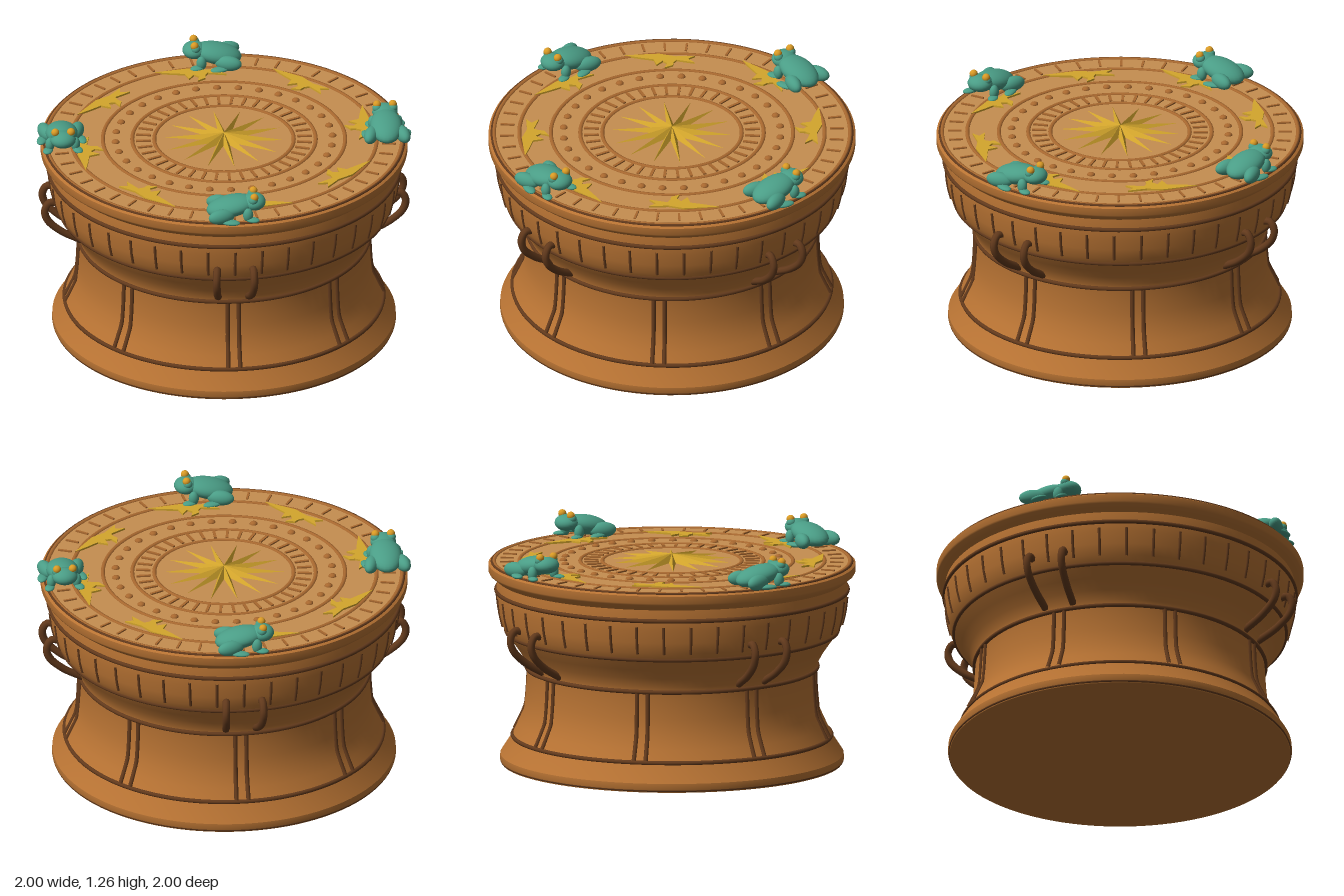
import * as THREE from 'three';
import { toCreasedNormals } from 'three/addons/utils/BufferGeometryUtils.js';

const mat = (color, opts = {}) => new THREE.MeshStandardMaterial({ color, ...opts });
const bronze = mat(0xb87333), face = mat(0xc68e50), trim = mat(0xa8682f), dark = mat(0x633a1c);
const gold = mat(0xd4a62c), goldFlat = mat(0xd4a62c, { flatShading: true });
const jade = mat(0x4a9d86), amber = mat(0xd99a25);
const TOP = 1.11;

function add(parent, name, geometry, material, x = 0, y = 0, z = 0) {
  const mesh = new THREE.Mesh(geometry, material);
  mesh.name = name;
  mesh.position.set(x, y, z);
  parent.add(mesh);
  return mesh;
}

// Repeats a part n times around the vertical axis
function around(parent, name, n, start, build) {
  const set = new THREE.Group();
  set.name = name;
  for (let i = 0; i < n; i++) {
    const arm = new THREE.Group();
    arm.rotation.y = start + (i / n) * Math.PI * 2;
    build(arm);
    set.add(arm);
  }
  parent.add(set);
}

function hoop(parent, name, r, y, tube, material, squash = 1) {
  const g = new THREE.TorusGeometry(r, tube, 8, 96).rotateX(Math.PI / 2).scale(1, squash, 1);
  add(parent, name, g, material, 0, y, 0);
}

// Tube along [radius, height] points, turned by an angle about the axis
function rod(parent, name, pts, angle, radius, segments) {
  const path = new THREE.CatmullRomCurve3(pts.map(([r, y]) => new THREE.Vector3(r, y, 0)));
  const mesh = add(parent, name, new THREE.TubeGeometry(path, segments, radius, 8), dark);
  mesh.rotation.y = angle;
}

function buildStar() {
  const n = 14, pos = [];
  const at = (k) => {
    const a = Math.PI / 2 + (k * Math.PI) / n, r = k % 2 ? 0.085 : 0.33;
    return [r * Math.cos(a), 0, -r * Math.sin(a)];
  };
  for (let k = 0; k < 2 * n; k++) pos.push(0, 0.04, 0, ...at(k), ...at(k + 1));
  const g = new THREE.BufferGeometry();
  g.setAttribute('position', new THREE.Float32BufferAttribute(pos, 3));
  g.computeVertexNormals();
  return g;
}

// Flying bird outline as [x, z] on the drum face
function buildBird() {
  const pts = [[0.775, -0.326], [0.792, -0.235], [0.808, -0.14], [0.788, -0.05], [0.802, 0.055],
    [0.77, 0.02], [0.733, 0.06], [0.752, -0.04], [0.725, -0.055], [0.695, -0.055], [0.665, -0.1],
    [0.71, -0.088], [0.735, -0.115], [0.69, -0.145], [0.745, -0.165], [0.757, -0.24]];
  const shape = new THREE.Shape(pts.map(([x, z]) => new THREE.Vector2(x, -z)));
  return new THREE.ExtrudeGeometry(shape, { depth: 0.012, bevelEnabled: false }).rotateX(-Math.PI / 2);
}

// Frog faces local +z
function buildFrog() {
  const frog = new THREE.Group();
  frog.name = 'frog';
  const ball = new THREE.SphereGeometry(1, 24, 16);
  const blob = (name, p, s, tilt = 0, turn = 0, m = jade) => {
    const b = add(frog, name, ball, m, ...p);
    b.scale.set(...s);
    b.rotation.set(tilt, turn, 0);
  };
  blob('frogBody', [0, 0.062, -0.02], [0.088, 0.055, 0.135], -0.2);
  blob('frogHead', [0, 0.085, 0.105], [0.07, 0.045, 0.065]);
  for (const s of [-1, 1]) {
    blob('frogEye', [s * 0.043, 0.13, 0.106], [0.022, 0.022, 0.022], 0, 0, amber);
    blob('frogEyeBump', [s * 0.043, 0.112, 0.1], [0.026, 0.024, 0.026]);
    blob('frogThigh', [s * 0.085, 0.04, -0.075], [0.038, 0.042, 0.075], 0, s * -0.3);
    blob('frogHindFoot', [s * 0.105, 0.014, -0.03], [0.028, 0.014, 0.055], 0, s * 0.3);
    blob('frogForeleg', [s * 0.07, 0.038, 0.07], [0.025, 0.04, 0.028]);
    blob('frogForefoot', [s * 0.082, 0.013, 0.095], [0.026, 0.013, 0.038], 0, s * 0.3);
  }
  return frog;
}

export function createModel() {
  const drum = new THREE.Group();
  drum.name = 'bronzeDrum';

  // Body: flared foot, waist, bulging shoulder, rim
  const profile = [[0, 0], [0.928, 0], [0.937, 0.02], [0.935, 0.05], [0.87, 0.15], [0.838, 0.22],
    [0.806, 0.29], [0.797, 0.38], [0.788, 0.52], [0.797, 0.56], [0.822, 0.61], [0.86, 0.665],
    [0.9, 0.72], [0.928, 0.77], [0.943, 0.83], [0.952, 0.9], [0.957, 0.955], [0.952, 1.015],
    [0.97, 1.03], [0.995, 1.05], [1, 1.06], [1, 1.1], [0.985, TOP], [0, TOP]];
  const body = new THREE.LatheGeometry(profile.map(([r, y]) => new THREE.Vector2(r, y)), 96);
  add(drum, 'body', toCreasedNormals(body, 0.5), bronze);
  add(drum, 'drumFace', new THREE.CylinderGeometry(0.975, 0.975, 0.004, 96), face, 0, TOP, 0);

  // Side hoops
  for (const [r, y] of [[0.868, 0.152], [0.793, 0.53], [0.903, 0.73], [0.957, 0.955]])
    hoop(drum, 'sideHoop', r, y, 0.012, dark);
  hoop(drum, 'baseHoop', 0.926, 0.012, 0.009, dark);
  hoop(drum, 'rimHoop', 0.98, TOP, 0.008, dark);

  // Shoulder ticks, paired waist ribs, paired loop handles
  around(drum, 'shoulderTicks', 40, 0, (g) =>
    rod(g, 'shoulderTick', [[0.926, 0.765], [0.944, 0.84], [0.954, 0.92]], 0, 0.008, 6));
  around(drum, 'waistRibs', 8, 0, (g) => {
    for (const s of [-1, 1])
      rod(g, 'waistRib', [[0.868, 0.16], [0.838, 0.22], [0.808, 0.29], [0.797, 0.38], [0.79, 0.525]],
        s * 0.038, 0.012, 14);
  });
  around(drum, 'handles', 4, Math.PI / 4, (g) => {
    for (const s of [-1, 1])
      rod(g, 'handle', [[0.92, 0.8], [0.965, 0.805], [0.99, 0.76], [0.975, 0.7], [0.9, 0.625], [0.79, 0.56]],
        s * 0.104, 0.021, 28);
  });

  // Face decoration: rings, radial ticks, studs, star, birds
  for (const r of [0.38, 0.5, 0.66, 0.832, 0.97]) hoop(drum, 'faceRing', r, TOP, 0.012, trim, 0.8);
  around(drum, 'innerTicks', 40, 0, (g) =>
    add(g, 'innerTick', new THREE.BoxGeometry(0.08, 0.014, 0.015), trim, 0.44, TOP + 0.003, 0));
  around(drum, 'outerTicks', 48, 0, (g) =>
    add(g, 'outerTick', new THREE.BoxGeometry(0.075, 0.014, 0.012), trim, 0.9, TOP + 0.003, 0));
  const studShape = new THREE.SphereGeometry(0.022, 12, 8).scale(1, 0.7, 1);
  around(drum, 'studs', 32, 0, (g) => add(g, 'stud', studShape, trim, 0.592, TOP + 0.002, 0));
  add(drum, 'star', buildStar(), goldFlat, 0, TOP + 0.003, 0);
  const bird = buildBird();
  around(drum, 'birds', 8, 0, (g) => add(g, 'bird', bird, gold, 0, TOP, 0));

  // Frogs on the rim, walking counterclockwise
  around(drum, 'frogs', 4, Math.PI / 4, (g) => {
    const frog = buildFrog();
    frog.position.set(0.885, TOP, 0);
    frog.rotation.y = Math.PI;
    g.add(frog);
  });
  return drum;
}
